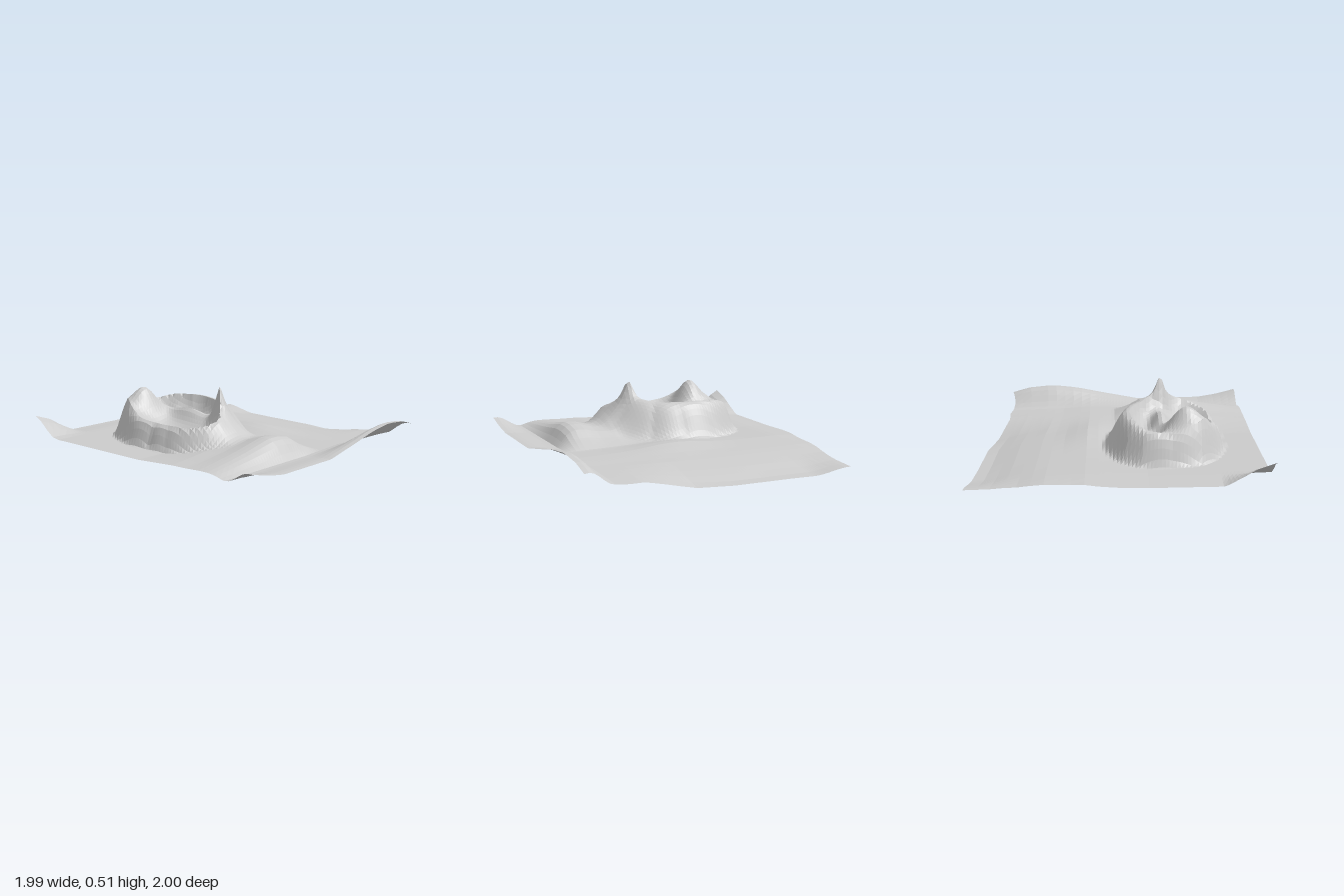
import * as THREE from 'three';

const { smoothstep, lerp, radToDeg } = THREE.MathUtils;

// Piecewise-linear lookup of a column in rows that start with a position
function lookup(rows, t, col = 1) {
  if (t <= rows[0][0]) return rows[0][col];
  for (let i = 1; i < rows.length; i++) {
    const a = rows[i - 1], b = rows[i];
    if (t <= b[0]) return lerp(a[col], b[col], (t - a[0]) / (b[0] - a[0]));
  }
  return rows[rows.length - 1][col];
}

// Rounded bump
const bump = (x, z, cx, cz, rx, rz, h) =>
  h * Math.exp(-(((x - cx) / rx) ** 2) - ((z - cz) / rz) ** 2);

// Grid lines, packed closer where the crater lies
function gridLines(spans) {
  const out = [spans[0][0]];
  for (const [a, b, n] of spans) for (let i = 1; i <= n; i++) out.push(lerp(a, b, i / n));
  return out;
}

// Outline of the land
const rightEdge = [[-0.89, 0.99], [-0.4, 0.95], [0, 0.93], [0.3, 0.87], [0.58, 0.82], [0.7, 0.83], [0.87, 0.8], [1, 0.83]];
const backEdge = [[0, -1], [0.12, -0.985], [0.25, -0.95], [0.6, -0.92], [0.75, -0.895], [1, -0.885]];

// Ground profiles
const plain = [[-1, 0.12], [-0.2, 0.108], [0.2, 0.115], [0.5, 0.095], [0.7, 0.055], [0.86, 0.01], [1, 0]];
const frontEdge = [[-1, 0.2], [-0.85, 0.16], [-0.7, 0.135], [-0.2, 0.125], [0.1, 0.18], [0.3, 0.22], [0.5, 0.24], [0.7, 0.22], [0.83, 0.18]];
const backEdgeRise = [[-1, 0.14], [-0.87, 0.095], [-0.8, 0.05], [-0.68, -0.015], [0.3, -0.015], [0.6, 0]];
const shelfAcross = [[-1, 0.2], [-0.85, 0.35], [-0.65, 0.6], [-0.4, 1], [-0.3, 1], [-0.2, 0.85], [-0.12, 0.45], [0, 0]];
const shelfAlong = [[0.05, 0], [0.35, 0.09], [0.47, 0.1], [0.58, 0.13], [0.66, 0.13], [0.71, 0.095], [0.78, 0]];

// Mountain round its centre, from +x towards +z:
// angle, rim radius, rim height, foot radius, flank shape (above 1 has a shoulder)
const cx = -0.38, cz = -0.12;
const mountain = [
  [0, 0.26, 0.37, 0.46, 1.3], [34, 0.23, 0.37, 0.46, 1.2], [72, 0.26, 0.4, 0.54, 0.9],
  [82, 0.29, 0.43, 0.57, 0.8], [96, 0.36, 0.36, 0.59, 0.8], [106, 0.42, 0.32, 0.59, 0.8],
  [118, 0.42, 0.3, 0.55, 0.9], [131, 0.39, 0.285, 0.51, 1], [157, 0.31, 0.28, 0.43, 1.1],
  [180, 0.28, 0.28, 0.385, 1.2], [218, 0.34, 0.3, 0.46, 1.2], [248, 0.44, 0.3, 0.56, 1.2],
  [270, 0.45, 0.3, 0.57, 1.2], [292, 0.47, 0.33, 0.6, 1.2], [307, 0.41, 0.36, 0.59, 1.3],
  [327, 0.33, 0.37, 0.53, 1.3], [360, 0.26, 0.37, 0.46, 1.3],
];

// Direction of a point from the crater centre, and the outline there
function mountainAt(x, z) {
  const angle = Math.atan2(z - cz, x - cx);
  const deg = (radToDeg(angle) + 360) % 360;
  const [rimR, rimY, footR, shape] = [1, 2, 3, 4].map((col) => lookup(mountain, deg, col));
  return { angle, r: Math.hypot(x - cx, z - cz), rimR, rimY, footR, shape };
}

function groundHeight(x, z) {
  const fall = lookup([[0.25, 1], [0.4, 0.7], [0.6, 0.3], [0.8, 0.2]], z);
  const flat = lookup(plain, x);
  let y = lerp(Math.max(flat, 0.1), flat, x > 0.2 ? fall : 1);
  y += bump(x, z, 0.18, 0.05, 0.16, 0.3, 0.035);
  // shelf and knoll on the near side, dropping into the channel
  y += lookup(shelfAcross, x) * lookup(shelfAlong, z);
  // borders and far corners
  y += lookup(backEdgeRise, x) * smoothstep(-z, 0.78, 1.02);
  y += 0.04 * smoothstep(x, 0.6, 0.95) * smoothstep(-z, 0.6, 0.885);
  return lerp(y, lookup(frontEdge, x), smoothstep(z, 0.79, 0.97));
}

function height(x, z) {
  const { r, rimR, rimY, footR, shape } = mountainAt(x, z);
  // pinnacle on the near rim, blunt horn at the far end
  const spikes = bump(x, z, -0.335, 0.155, 0.05, 0.05, 0.1)
    + bump(x, z, -0.475, -0.43, 0.14, 0.11, 0.205);
  if (r >= rimR) {
    // outer flank
    const t = Math.min(1, (r - rimR) / (footR - rimR));
    return lerp(rimY, groundHeight(x, z), smoothstep(t ** shape, 0, 1)) + spikes * (1 - t);
  }
  // crater: smooth trough, inner ridge and two pits beside it
  let floor = 0.25;
  floor -= bump(x, z, -0.52, -0.02, 0.1, 0.25, 0.06);
  floor += bump(x, z, -0.32, -0.14, 0.06, 0.2, 0.08);
  floor -= bump(x, z, -0.21, -0.2, 0.06, 0.12, 0.03);
  floor -= bump(x, z, -0.27, -0.46, 0.09, 0.06, 0.05);
  return lerp(floor, rimY, (r / rimR) ** 5) + spikes;
}

export function createModel() {
  const group = new THREE.Group();
  group.name = 'volcanicLandscape';

  const xs = gridLines([[-1, -0.82, 3], [-0.82, 0.12, 38], [0.12, 1, 10]]);
  const zs = gridLines([[-1, -0.76, 4], [-0.76, 0.5, 50], [0.5, 1, 14]]);
  const nx = xs.length - 1, nz = zs.length - 1;

  // Terrain sheet: a plane whose grid is fitted to the outline and raised
  const geometry = new THREE.PlaneGeometry(2, 2, nx, nz).rotateX(-Math.PI / 2);
  const pos = geometry.attributes.position;
  for (let j = 0; j <= nz; j++) {
    for (let i = 0; i <= nx; i++) {
      let x = xs[i], z = zs[j];
      if (z < -0.6) z = lerp(-0.6, lookup(backEdge, x), (-0.6 - z) / 0.4);
      if (x > 0.12) x = lerp(0.12, lookup(rightEdge, z), (x - 0.12) / 0.88);
      // draw nearby vertices onto the rim so that its crest runs clean
      const { angle, r, rimR } = mountainAt(x, z);
      if (Math.abs(r - rimR) < 0.013) {
        x = cx + Math.cos(angle) * rimR;
        z = cz + Math.sin(angle) * rimR;
      }
      pos.setXYZ(j * (nx + 1) + i, x, Math.max(0, height(x, z)), z);
    }
  }
  geometry.computeVertexNormals();

  const terrain = new THREE.Mesh(geometry, new THREE.MeshStandardMaterial({
    color: 0xcccccc, flatShading: true, side: THREE.DoubleSide,
  }));
  terrain.name = 'terrain';
  group.add(terrain);
  return group;
}
